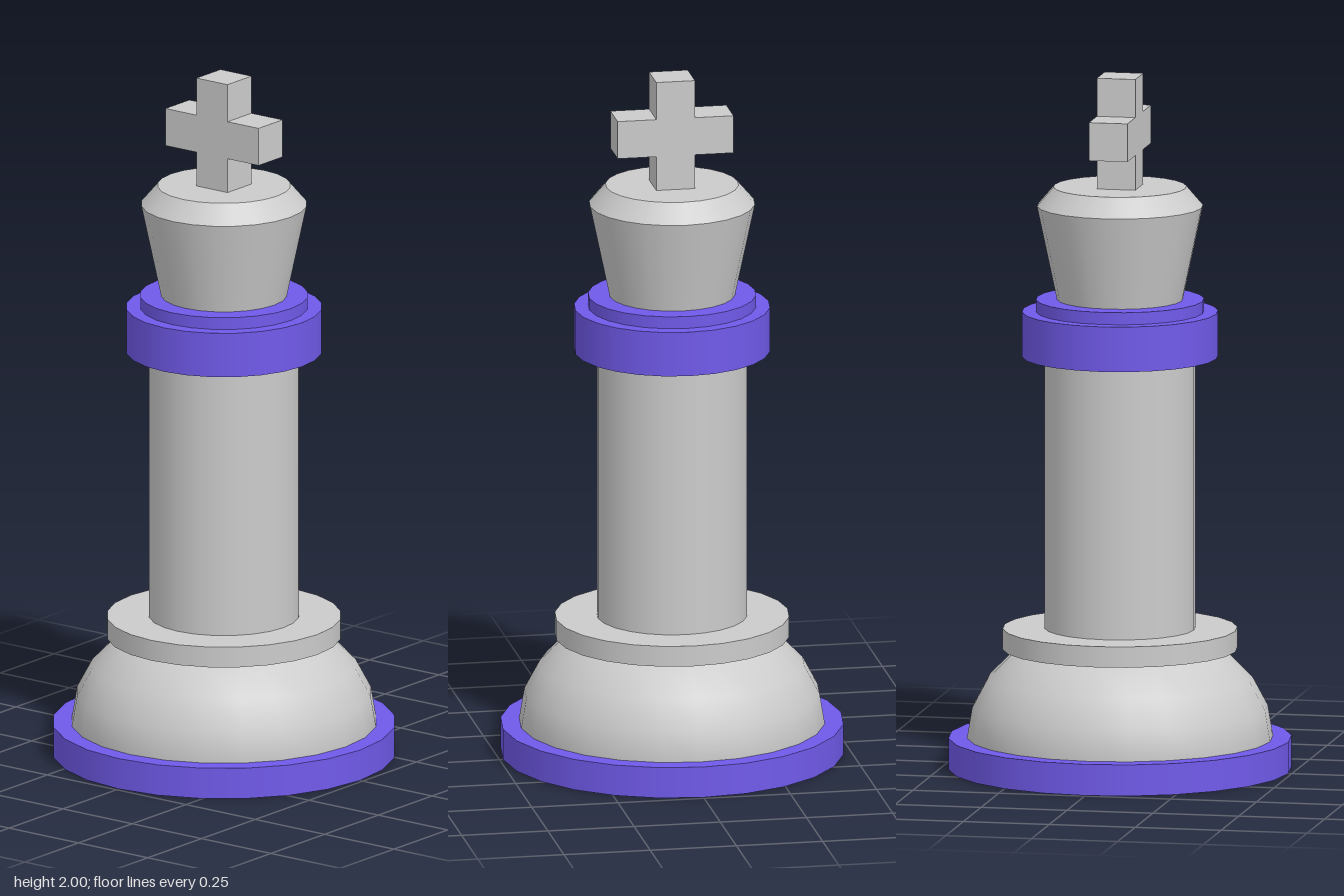
import * as THREE from 'three';

const SIDES = 24;
const grey = new THREE.MeshStandardMaterial({ color: 0xcccccc });
const purple = new THREE.MeshStandardMaterial({ color: 0x705aea });

export function createModel() {
  const model = new THREE.Group();
  model.name = 'chessKing';

  const add = (name, geometry, material) => {
    const mesh = new THREE.Mesh(geometry, material);
    mesh.name = name;
    model.add(mesh);
    return mesh;
  };

  // Upright round section between two heights
  const drum = (name, y0, y1, rBottom, rTop, material = grey) => {
    const geometry = new THREE.CylinderGeometry(rTop, rBottom, y1 - y0, SIDES);
    add(name, geometry, material).position.y = (y0 + y1) / 2;
  };

  // Foot
  drum('basePlate', 0, 0.09, 0.49, 0.49, purple);

  // Flattened half dome, its top running up inside the collar
  const dome = new THREE.SphereGeometry(0.437, SIDES, 6, 0, Math.PI * 2, 0, Math.PI / 2);
  dome.scale(1, 0.34 / 0.437, 1);
  add('baseDome', dome, grey).position.y = 0.09;

  // Shaft
  drum('lowerCollar', 0.345, 0.405, 0.335, 0.335);
  drum('column', 0.405, 1.19, 0.215, 0.215);
  drum('neckRing', 1.19, 1.32, 0.28, 0.28, purple);
  drum('neckStep', 1.32, 1.355, 0.24, 0.24, purple);

  // Flared head with a bevelled top
  drum('head', 1.355, 1.625, 0.18, 0.237);
  drum('crownBevel', 1.625, 1.68, 0.237, 0.19);

  // Cross, its arms along z
  const w = 0.056, arm = 0.168, low = 1.78, high = 1.89;
  const outline = [
    [-w, 1.68], [w, 1.68], [w, low], [arm, low], [arm, high], [w, high],
    [w, 2], [-w, 2], [-w, high], [-arm, high], [-arm, low], [-w, low],
  ].map(([x, y]) => new THREE.Vector2(x, y));
  const cross = new THREE.ExtrudeGeometry(new THREE.Shape(outline), { depth: 2 * w, bevelEnabled: false });
  cross.translate(0, 0, -w).rotateY(Math.PI / 2);
  add('cross', cross, grey);

  return model;
}
